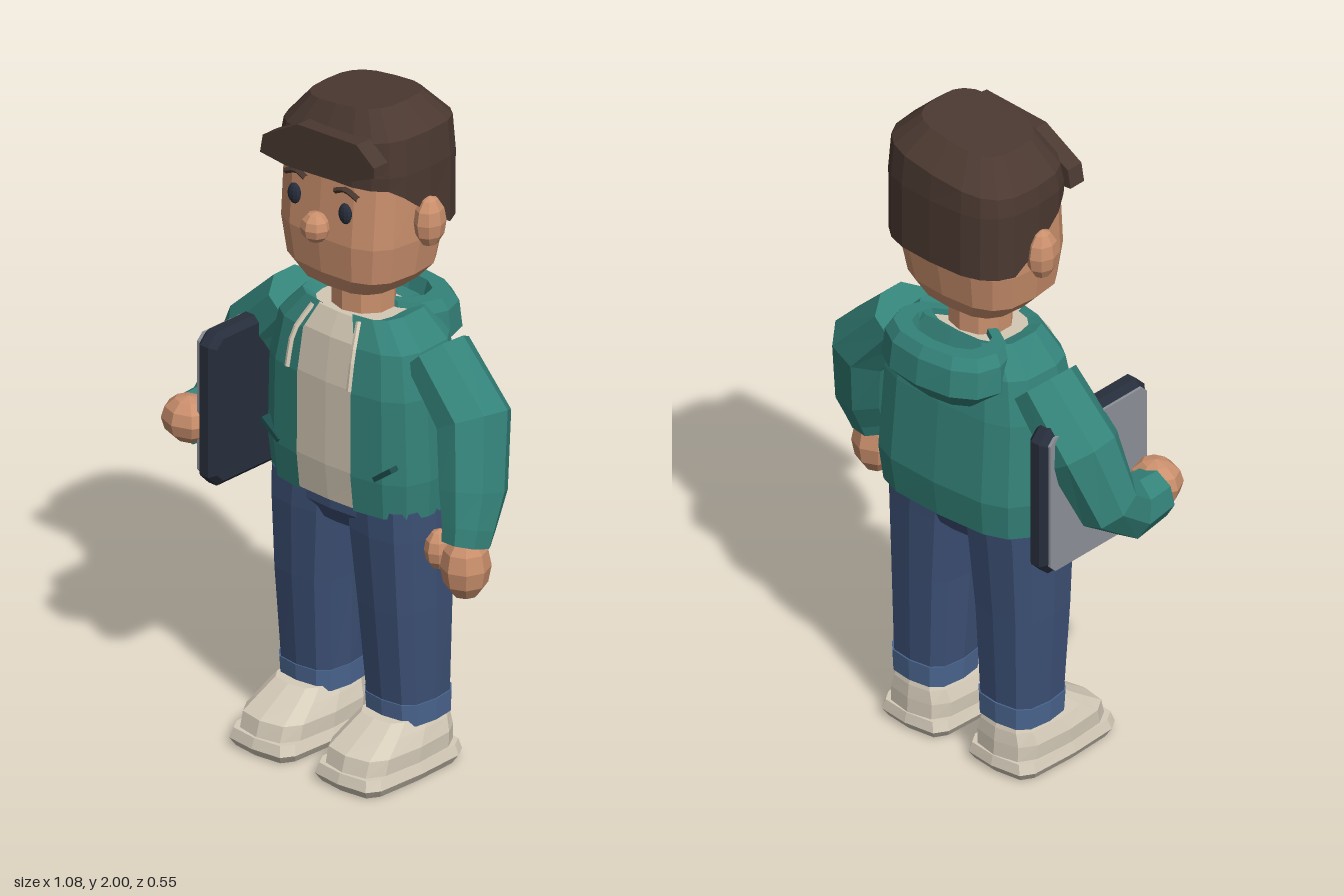
import * as THREE from 'three';

const mat = (name, color, side = THREE.FrontSide) => {
  const m = new THREE.MeshStandardMaterial({ color, side });
  m.name = name;
  return m;
};

// Faceted skin through equal-length rings of Vector3, with optional fan caps
function loft(rings, { closed = true, capStart = true, capEnd = true } = {}) {
  const n = rings[0].length, pos = [];
  const tri = (...p) => p.forEach(v => pos.push(v.x, v.y, v.z));
  for (let i = 0; i < rings.length - 1; i++) {
    for (let j = 0; j < (closed ? n : n - 1); j++) {
      const k = (j + 1) % n, a = rings[i], b = rings[i + 1];
      tri(a[j], a[k], b[k]);
      tri(a[j], b[k], b[j]);
    }
  }
  const cap = (r, flip) => {
    const c = r.reduce((s, p) => s.add(p), new THREE.Vector3()).divideScalar(n);
    for (let j = 0; j < n; j++) {
      const k = (j + 1) % n;
      flip ? tri(c, r[k], r[j]) : tri(c, r[j], r[k]);
    }
  };
  if (capStart) cap(rings[0], true);
  if (capEnd) cap(rings[rings.length - 1], false);
  const g = new THREE.BufferGeometry();
  g.setAttribute('position', new THREE.Float32BufferAttribute(pos, 3));
  g.computeVertexNormals();
  return g;
}

// Horizontal rounded-box ring; from/to open it at the front (+z)
function ring(cx, y, rx, zf, zb, { n = 12, e = 0.65, gap = 0 } = {}) {
  const cz = (zf + zb) / 2, rz = (zf - zb) / 2;
  const a0 = gap ? Math.asin(Math.pow(gap / rx, 1 / e)) : 0;
  const pow = v => Math.sign(v) * Math.pow(Math.abs(v), e);
  return Array.from({ length: gap ? n + 1 : n }, (_, i) => {
    const a = a0 + (i / n) * (Math.PI * 2 - 2 * a0);
    return new THREE.Vector3(cx + rx * pow(Math.sin(a)), y, cz + rz * pow(Math.cos(a)));
  });
}

// Limb rings along a path of [x, y, z, depthRadius, widthRadius]
function limb(path, n = 8) {
  const pts = path.map(p => new THREE.Vector3(p[0], p[1], p[2]));
  const A = new THREE.Vector3(0, 0, 1);
  return pts.map((p, i) => {
    const T = pts[Math.min(i + 1, pts.length - 1)].clone().sub(pts[Math.max(i - 1, 0)]).normalize();
    A.addScaledVector(T, -A.dot(T)).normalize();
    const B = T.clone().cross(A);
    return Array.from({ length: n }, (_, j) => {
      const a = ((j + 0.5) / n) * Math.PI * 2;
      return p.clone().addScaledVector(A, Math.cos(a) * path[i][3] * 1.05)
        .addScaledVector(B, Math.sin(a) * path[i][4] * 1.05);
    });
  });
}

export function createModel() {
  const root = new THREE.Group();
  const M = {
    skin: mat('skin', 0xcb906d),
    hair: mat('hair brown', 0x4b3931),
    jacket: mat('jacket teal', 0x34837a, THREE.DoubleSide),
    seam: mat('dark teal', 0x1c4a4a),
    shirt: mat('shirt cream', 0xd3c8b4),
    denim: mat('denim', 0x3c5075),
    cuff: mat('light denim', 0x4b6690),
    shoe: mat('shoe cream', 0xd6ccba),
    dark: mat('dark slate', 0x272e3c),
    metal: mat('metal grey', 0x8e9199),
  };
  const add = (name, geo, m, parent = root) => {
    const mesh = new THREE.Mesh(geo, m);
    mesh.name = name;
    parent.add(mesh);
    return mesh;
  };
  const facet = g => {
    const f = g.index ? g.toNonIndexed() : g;
    f.computeVertexNormals();
    return f;
  };
  const ball = (name, p, s, m, w = 8, h = 6) => {
    const g = facet(new THREE.SphereGeometry(1, w, h).scale(...s));
    return add(name, g, m).position.set(...p);
  };
  const tube = (name, pts, r, m) => add(name, facet(new THREE.TubeGeometry(
    new THREE.CatmullRomCurve3(pts.map(p => new THREE.Vector3(...p))), 5, r, 5)), m);
  const C = 0.012; // body centre line

  // Head and neck
  add('neck', facet(new THREE.CylinderGeometry(0.095, 0.095, 0.14, 10).scale(1, 1, 0.9)), M.skin)
    .position.set(C, 1.4, -0.01);
  add('head', loft([
    [1.44, 0.15, 0.135, -0.14], [1.49, 0.197, 0.16, -0.165], [1.6, 0.215, 0.172, -0.185],
    [1.78, 0.216, 0.158, -0.18], [1.88, 0.19, 0.13, -0.16],
  ].map(([y, rx, f, b]) => ring(C, y, rx, f, b, { n: 16 }))), M.skin);
  ball('nose', [C, 1.635, 0.182], [0.045, 0.045, 0.042], M.skin);

  // Hair cap: hairline high in front, low behind the ears, crown leaning to one side
  const hairRings = [[1.78, 0.232, 0.16, -0.215], [1.82, 0.234, 0.16, -0.215],
    [1.9, 0.226, 0.15, -0.208], [1.98, 0.15, 0.1, -0.14]]
    .map(([y, rx, f, b]) => ring(C, y, rx, f, b, { n: 20 }));
  const hairline = [1.78, 1.78, 1.78, 1.78, 1.75, 1.68, 1.62, 1.62, 1.62, 1.62, 1.62];
  hairRings[0].forEach((p, i) => { p.y = hairline[Math.min(i, 20 - i)]; });
  hairRings.slice(2).forEach(r => r.forEach(p => { p.y += 0.12 * (p.x - C); }));
  add('hair', loft(hairRings), M.hair);

  // Swept fringe
  const fringe = new THREE.Shape([[-0.2, 1.79], [-0.1, 1.78], [0.1, 1.795], [0.225, 1.85],
    [0.225, 1.88], [0.16, 1.93], [-0.06, 1.92], [-0.19, 1.845]].map(p => new THREE.Vector2(...p)));
  add('fringe', facet(new THREE.ExtrudeGeometry(fringe, { depth: 0.055, bevelEnabled: false })), M.hair)
    .position.z = 0.122;

  // Eyes, brows, ears, drawstrings and pockets, mirrored
  for (const s of [1, -1]) {
    const side = s > 0 ? 'left' : 'right';
    const X = d => C + s * d;
    ball(side + 'Eye', [X(0.095), 1.7, 0.165], [0.022, 0.031, 0.014], M.dark, 10, 8);
    tube(side + 'Brow', [[X(0.055), 1.757, 0.163], [X(0.09), 1.77, 0.161], [X(0.135), 1.752, 0.156]], 0.009, M.hair);
    ball(side + 'Ear', [X(0.238), 1.66, -0.02], [0.042, 0.076, 0.05], M.skin);
    tube(side + 'Drawstring', [[X(0.085), 1.345, 0.1], [X(0.11), 1.27, 0.15], [X(0.115), 1.17, 0.172]], 0.008, M.shirt);
    const pocket = add(side + 'Pocket', new THREE.BoxGeometry(0.08, 0.014, 0.03), M.seam);
    pocket.position.set(X(0.21), 0.935, 0.128);
    pocket.rotation.z = s * 0.65;
  }

  // Jacket shell, open down the front, over a shirt
  const torso = [[0.79, 0.275, 0.14, -0.185, 0.1], [0.9, 0.285, 0.152, -0.2, 0.1],
    [1.15, 0.277, 0.15, -0.18, 0.1], [1.28, 0.25, 0.132, -0.16, 0.095], [1.36, 0.175, 0.1, -0.125, 0.06]];
  const shell = torso.map(([y, rx, f, b, gap]) => ring(C, y, rx, f, b, { n: 14, e: 0.6, gap }));
  shell.push(ring(C, 1.345, 0.13, 0.085, -0.1, { n: 14, e: 0.6, gap: 0.055 }));
  add('jacket', loft(shell, { closed: false, capStart: false, capEnd: false }), M.jacket);
  add('shirt', loft(torso.map(([y, rx, f, b]) =>
    ring(C, y - (y > 1.3 ? 0.015 : 0), rx - 0.015, f - 0.008, b + 0.015, { n: 16, e: 0.6 }))), M.shirt);

  // Folded hood behind the neck
  add('hood', loft([[1.185, 0.13, -0.05, -0.215], [1.25, 0.2, -0.02, -0.272], [1.33, 0.195, -0.02, -0.262],
    [1.362, 0.175, -0.03, -0.24], [1.362, 0.125, -0.05, -0.2], [1.29, 0.11, -0.06, -0.18]]
    .map(([y, rx, f, b]) => ring(C, y, rx, f, b, { n: 12, e: 0.85 }))), M.jacket);

  // Arms: left hangs down, right is bent forward
  add('leftArm', loft(limb([[0.265, 1.265, -0.035, 0.1, 0.08], [0.41, 1.11, -0.025, 0.108, 0.098],
    [0.45, 0.925, 0.02, 0.1, 0.083], [0.466, 0.83, 0.055, 0.078, 0.07], [0.468, 0.785, 0.068, 0.07, 0.065]])), M.jacket);
  add('rightArm', loft(limb([[-0.255, 1.265, -0.04, 0.1, 0.08], [-0.4, 1.11, -0.045, 0.108, 0.098],
    [-0.46, 0.95, -0.01, 0.09, 0.085], [-0.46, 0.89, 0.08, 0.085, 0.075], [-0.458, 0.895, 0.18, 0.072, 0.07]])), M.jacket);
  ball('leftHand', [0.468, 0.718, 0.07], [0.07, 0.098, 0.072], M.skin);
  ball('leftThumb', [0.388, 0.75, 0.09], [0.04, 0.06, 0.045], M.skin);
  ball('rightHand', [-0.44, 0.912, 0.205], [0.082, 0.068, 0.07], M.skin);

  // Laptop carried flat against the side, with a metal outer panel
  const plate = (hz, hy, c) => new THREE.Shape([[-hz + c, -hy], [hz - c, -hy], [hz, -hy + c], [hz, hy - c],
    [hz - c, hy], [-hz + c, hy], [-hz, hy - c], [-hz, -hy + c]].map(p => new THREE.Vector2(...p)));
  const laptop = new THREE.Group();
  laptop.name = 'laptop';
  laptop.position.set(-0.348, 0.975, 0.03);
  laptop.rotation.y = -Math.PI / 2;
  root.add(laptop);
  add('laptopBody', facet(new THREE.ExtrudeGeometry(plate(0.195, 0.215, 0.025), {
    depth: 0.03, bevelThickness: 0.018, bevelSize: 0.018, bevelSegments: 1 })), M.dark, laptop).position.z = -0.015;
  add('laptopPanel', facet(new THREE.ExtrudeGeometry(plate(0.195, 0.215, 0.02), {
    depth: 0.009, bevelEnabled: false })), M.metal, laptop).position.z = 0.0325;

  // Trousers and shoes
  add('hips', loft([[0.71, 0.2, 0.1, -0.12], [0.76, 0.262, 0.125, -0.14], [0.83, 0.262, 0.125, -0.15]]
    .map(([y, rx, f, b]) => ring(C, y, rx, f, b))), M.denim);
  for (const s of [1, -1]) {
    const side = s > 0 ? 'left' : 'right';
    const stack = (rows, opt) => loft(rows.map(([y, d, rx, f, b]) => ring(C + s * d, y, rx, f, b, opt)));
    add(side + 'Leg', stack([[0.18, 0.16, 0.102, 0.085, -0.12], [0.5, 0.155, 0.116, 0.112, -0.13],
      [0.72, 0.145, 0.13, 0.125, -0.14], [0.81, 0.138, 0.135, 0.125, -0.145]]), M.denim);
    add(side + 'TrouserCuff', stack([[0.155, 0.16, 0.104, 0.088, -0.124], [0.22, 0.16, 0.107, 0.092, -0.126]]), M.cuff);
    add(side + 'Sole', stack([[0, 0.16, 0.11, 0.25, -0.125], [0.025, 0.16, 0.125, 0.266, -0.142],
      [0.055, 0.16, 0.115, 0.256, -0.135]], { e: 0.4 }), M.shoe);
    add(side + 'Shoe', stack([[0.05, 0.16, 0.113, 0.25, -0.132], [0.1, 0.16, 0.115, 0.235, -0.13],
      [0.14, 0.16, 0.1, 0.17, -0.125], [0.172, 0.16, 0.085, 0.12, -0.115]], { e: 0.6 }), M.shoe);
  }
  return root;
}
